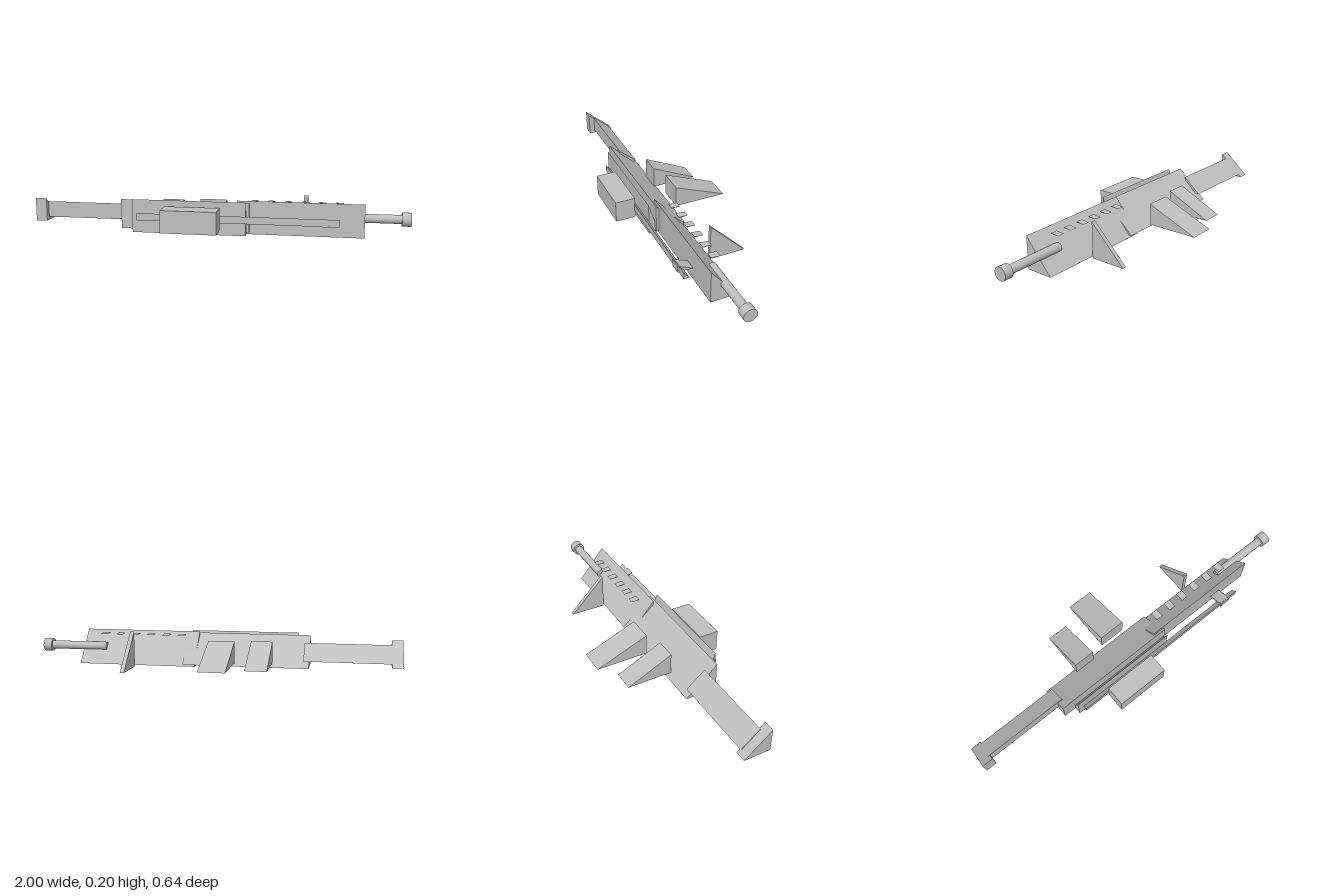
import * as THREE from 'three';

export function createModel() {
  const model = new THREE.Group();
  model.name = 'wedgeRifle';
  const grey = new THREE.MeshStandardMaterial({ color: 0xbfbfbf });
  grey.name = 'plain grey';

  function add(name, geometry) {
    const mesh = new THREE.Mesh(geometry, grey);
    mesh.name = name;
    model.add(mesh);
    return mesh;
  }

  // Right-angled prism along x: upright face at zFront, flat base at y0, slope facing back and up
  function wedge(name, x0, x1, zFront, zBack, y0, y1) {
    const shape = new THREE.Shape();
    shape.moveTo(-zFront, y0);
    shape.lineTo(-zBack, y0);
    shape.lineTo(-zFront, y1);
    shape.closePath();
    const geometry = new THREE.ExtrudeGeometry(shape, { depth: x1 - x0, bevelEnabled: false });
    geometry.rotateY(Math.PI / 2);
    geometry.translate(x0, 0, 0);
    return add(name, geometry);
  }

  // Round part along x on the barrel axis
  function rod(name, x0, x1, radius) {
    const geometry = new THREE.CylinderGeometry(radius, radius, x1 - x0, 18);
    geometry.rotateZ(-Math.PI / 2);
    geometry.translate((x0 + x1) / 2, 0.1, 0.064);
    return add(name, geometry);
  }

  // Stock
  wedge('buttPlate', -1, -0.94, 0.13, -0.014, 0.04, 0.165);
  wedge('stockBar', -0.95, -0.48, 0.1, 0.0, 0.057, 0.143);

  // Body
  wedge('receiver', -0.51, 0.175, 0.153, -0.018, 0.021, 0.178);
  wedge('topCover', -0.44, 0.16, 0.188, 0.133, 0.01, 0.186);
  wedge('handguard', 0.11, 0.765, 0.138, -0.01, 0.01, 0.186);

  // Sights
  wedge('sightRail', -0.41, 0.64, 0.215, 0.185, 0.08, 0.118);
  wedge('frontSight', 0.525, 0.585, 0.221, 0.14, 0.08, 0.118);
  const scope = add('scope', new THREE.BoxGeometry(0.29, 0.118, 0.108));
  scope.position.set(-0.115, 0.099, 0.266);

  // Grip, magazine and support leg
  wedge('grip', -0.315, -0.2, 0.005, -0.242, 0.04, 0.158);
  wedge('magazine', -0.115, 0.028, -0.028, -0.318, 0.04, 0.158);
  wedge('supportLeg', 0.448, 0.47, -0.01, -0.206, 0, 0.197);

  // Barrel
  rod('barrel', 0.63, 0.96, 0.023);
  rod('muzzle', 0.953, 1, 0.036);

  // Row of thin vent plates
  for (let i = 0; i < 6; i++) {
    const x = 0.195 + i * 0.0885;
    wedge('ventPlate' + (i + 1), x - 0.019, x + 0.019, 0.084, 0.036, 0.172, 0.176);
  }

  return model;
}
